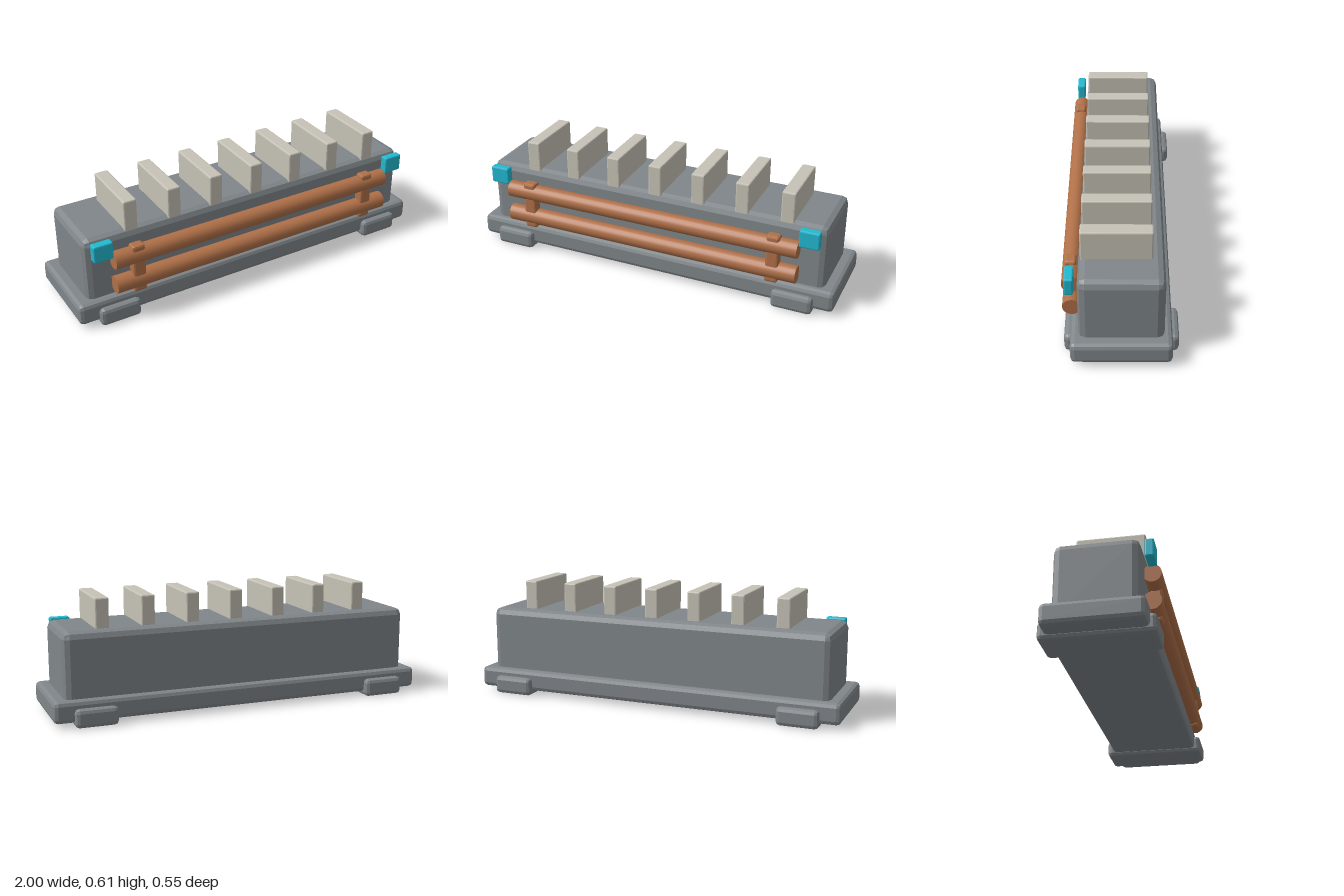
import * as THREE from 'three';
import { RoundedBoxGeometry } from 'three/addons/geometries/RoundedBoxGeometry.js';

const mat = (name, color) => {
  const m = new THREE.MeshStandardMaterial({ color });
  m.name = name;
  return m;
};

export function createModel() {
  const group = new THREE.Group();
  const grey = mat('casing grey', 0x80868a);
  const copper = mat('copper', 0xb07048);
  const cream = mat('fin cream', 0xc6c2b6);
  const cyan = mat('cyan', 0x22b8cf);

  // Box given by its limits, with faceted two-step bevels
  const box = (name, material, [x0, x1], [y0, y1], [z0, z1], bevel) => {
    const geo = new RoundedBoxGeometry(x1 - x0, y1 - y0, z1 - z0, 1, bevel);
    geo.computeVertexNormals();
    const mesh = new THREE.Mesh(geo, material);
    mesh.name = name;
    mesh.position.set((x0 + x1) / 2, (y0 + y1) / 2, (z0 + z1) / 2);
    group.add(mesh);
  };

  // Casing on its plinth
  box('plinth', grey, [-1, 1], [0.022, 0.132], [-0.244, 0.236], 0.022);
  box('body', grey, [-0.938, 0.938], [0.07, 0.461], [-0.206, 0.198], 0.035);

  // Row of cooling fins
  for (let i = 0; i < 7; i++) {
    const x = -0.682 + i * 0.235;
    box('fin' + (i + 1), cream, [x - 0.035, x + 0.035], [0.4, 0.612], [-0.15, 0.188], 0.007);
  }

  // Pair of pipes along the front
  for (const [name, y] of [['lowerPipe', 0.2], ['upperPipe', 0.341]]) {
    const pipe = new THREE.Mesh(new THREE.CylinderGeometry(0.045, 0.045, 1.614, 20), copper);
    pipe.name = name;
    pipe.rotation.z = Math.PI / 2;
    pipe.position.set(0, y, 0.232);
    group.add(pipe);
  }

  // Skids, pipe brackets and corner lamps on both ends
  for (const [side, s] of [['left', 1], ['right', -1]]) {
    const span = (c, w) => [s * c - w / 2, s * c + w / 2];
    box(side + 'Skid', grey, span(0.793, 0.214), [0, 0.094], [-0.277, 0.268], 0.02);
    box(side + 'Bracket', copper, span(0.682, 0.068), [0.141, 0.4], [0.209, 0.264], 0.011);
    box(side + 'Lamp', cyan, span(0.861, 0.102), [0.37, 0.461], [0.215, 0.258], 0.007);
  }
  return group;
}
